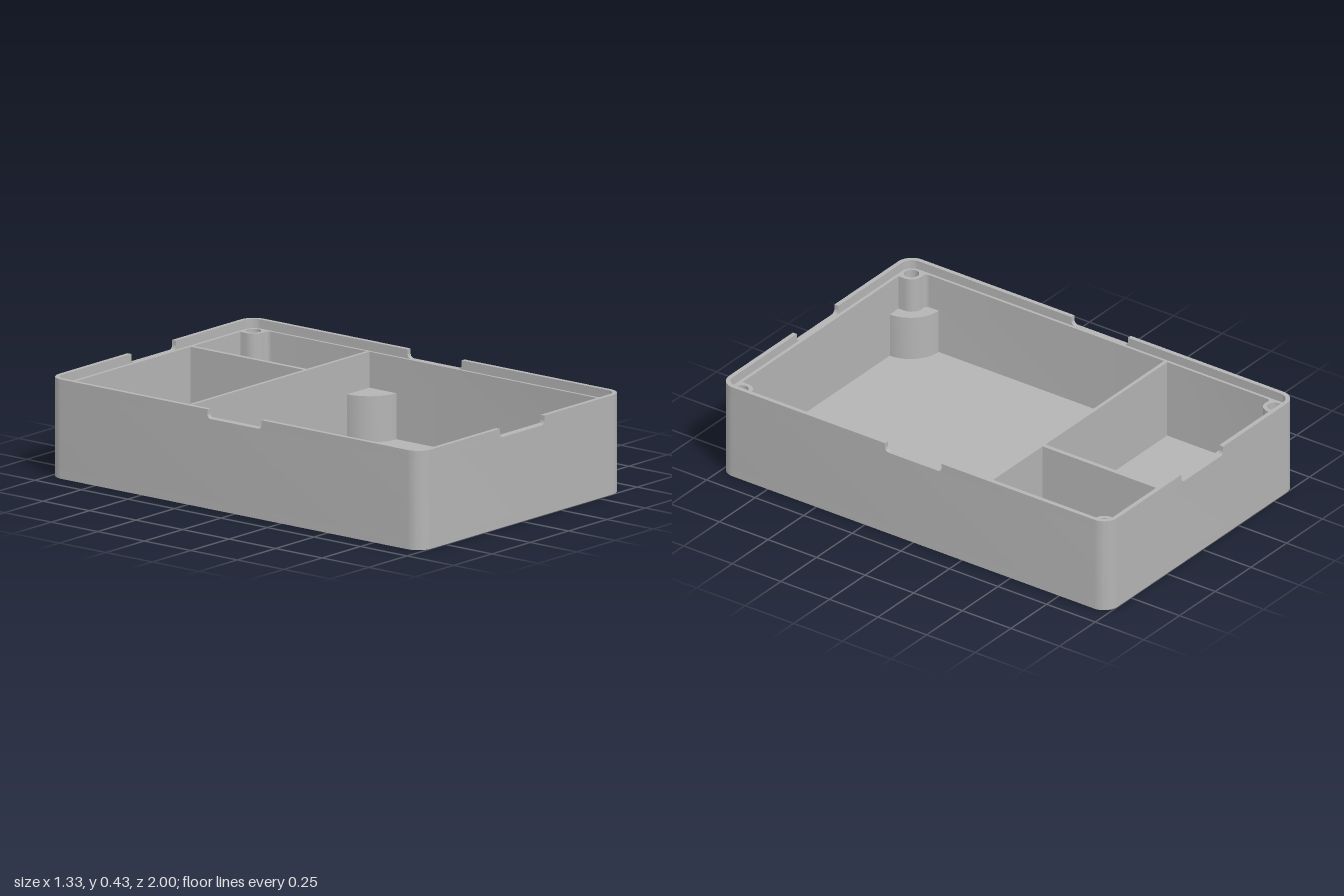
import * as THREE from 'three';
import { toCreasedNormals } from 'three/addons/utils/BufferGeometryUtils.js';

const W = 0.6625, L = 1.0;            // outer half width and half length
const IX = 0.63, IZ = 0.965;          // inner half width and half length
const R = 0.07, RIM = 0.02;           // corner radius, rim thickness
const FLOOR = 0.035, LEDGE = 0.386, TOP = 0.425;
const NOTCH = 0.145;                  // half width of the rim notches
const BX = 0.597, BZ = 0.935;         // screw boss centre
const DIV = -0.34;                    // front face of the cross divider

const V = (x, y) => new THREE.Vector2(x, y);

// points along an arc, angles in degrees
function arc(cx, cy, r, a0, a1, n = 10) {
  return Array.from({ length: n + 1 }, (_, i) => {
    const a = THREE.MathUtils.degToRad(a0 + ((a1 - a0) * i) / n);
    return V(cx + r * Math.cos(a), cy + r * Math.sin(a));
  });
}
const mirror = (pts, sx, sz) => pts.map((p) => V(p.x * sx, p.y * sz));

// plan shape (x, z) raised from y0 to y1
function slab(shape, y0, y1) {
  const g = new THREE.ExtrudeGeometry(shape, { depth: y1 - y0, bevelEnabled: false });
  g.rotateX(Math.PI / 2).translate(0, y1, 0);
  return toCreasedNormals(g, 0.6);
}

// inner outline round a screw boss, from the side wall to the end wall
const bossOutline = [
  V(IX, 0.868), ...arc(0.612, 0.868, 0.018, 0, 90, 5),
  ...arc(BX, BZ, 0.05, -90, -180), V(BX - 0.05, IZ),
].filter((p, i, a) => i === 0 || p.distanceTo(a[i - 1]) > 1e-5);

function outerOutline() {
  const q = arc(W - R, L - R, R, 0, 90);
  return [
    ...q, ...mirror(q, -1, 1).reverse(),
    ...mirror(q, -1, -1), ...mirror(q, 1, -1).reverse(),
  ];
}

export function createModel() {
  const group = new THREE.Group();
  const grey = new THREE.MeshStandardMaterial({ color: 0xb4b4b4 });
  grey.name = 'grey plastic';
  const add = (name, geometry) => {
    const mesh = new THREE.Mesh(geometry, grey);
    mesh.name = name;
    group.add(mesh);
    return mesh;
  };

  // floor
  add('floor', slab(new THREE.Shape(outerOutline()), 0, FLOOR));

  // walls and dividers in one piece, pierced by three compartments and the screw holes
  const walls = new THREE.Shape(outerOutline());
  const compartments = [
    [V(-IX, DIV), V(IX, DIV), ...bossOutline, ...mirror(bossOutline, -1, 1).reverse()],
    [V(0.222, -IZ), V(0.222, DIV - 0.016), V(-IX, DIV - 0.016), ...mirror(bossOutline, -1, -1)],
    [V(0.242, -IZ), V(0.242, DIV - 0.016), V(IX, DIV - 0.016), ...mirror(bossOutline, 1, -1)],
  ];
  for (const pts of compartments) walls.holes.push(new THREE.Path(pts));
  for (const sx of [-1, 1]) {
    for (const sz of [-1, 1]) {
      walls.holes.push(new THREE.Path(arc(BX * sx, BZ * sz, 0.032, 0, 345, 23)));
    }
  }
  add('wallsAndDividers', slab(walls, FLOOR, LEDGE));

  // quarter-round supports in the corners of the large compartment
  for (const sx of [-1, 1]) {
    for (const [z, a0, a1] of [[DIV, 180, 90], [IZ, 180, 270]]) {
      const pts = [V(IX, z), ...arc(IX, z, 0.145, a0, a1, 16)];
      add('cornerSupport', slab(new THREE.Shape(mirror(pts, sx, 1)), FLOOR, 0.232));
    }
  }

  // raised rim: one L-shaped piece per corner, leaving notches between
  const rim = [
    V(W, NOTCH), ...arc(W - R, L - R, R, 0, 90), V(NOTCH, L),
    V(NOTCH, L - RIM), ...arc(W - R, L - R, R - RIM, 90, 0), V(W - RIM, NOTCH),
  ];
  for (const sx of [-1, 1]) {
    for (const sz of [-1, 1]) {
      add('rimCorner', slab(new THREE.Shape(mirror(rim, sx, sz)), LEDGE, TOP));
    }
  }

  // small fillets at the bottom corners of each notch
  const f = 0.018;
  for (const s of [-1, 1]) {
    const pts = [V(NOTCH, LEDGE), ...arc(NOTCH - f, LEDGE + f, f, 0, -90, 6)];
    const g = toCreasedNormals(new THREE.ExtrudeGeometry(
      new THREE.Shape(mirror(pts, s, 1)), { depth: RIM, bevelEnabled: false }), 0.6);
    for (const z of [L - RIM, -L]) add('endNotchFillet', g).position.z = z;
    const side = g.clone().rotateY(Math.PI / 2);
    for (const x of [W - RIM, -W]) add('sideNotchFillet', side).position.x = x;
  }
  return group;
}
